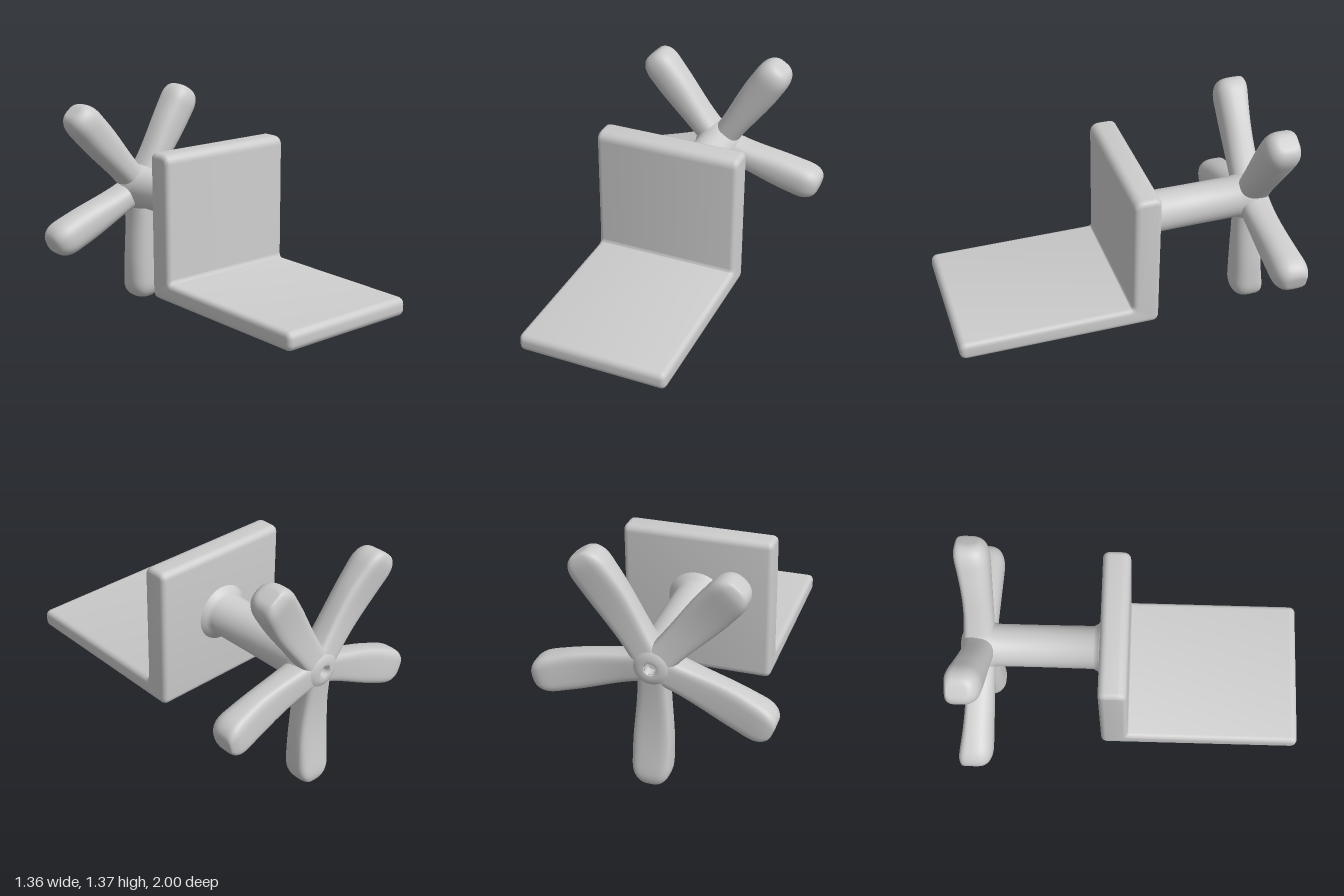
import * as THREE from 'three';
import { toCreasedNormals } from 'three/addons/utils/BufferGeometryUtils.js';

const AXIS_Y = 0.745; // height of the shaft axis
const mat = new THREE.MeshStandardMaterial({ color: 0xcccccc });

function part(name, geometry) {
  const mesh = new THREE.Mesh(geometry, mat);
  mesh.name = name;
  return mesh;
}

// L-shaped bracket: inset side profile (z, y), extruded across x; the bevel grows it to full size
function bracketGeometry() {
  const corners = [ // z, y, corner radius
    [-0.15, 0.31, 0.012], [0.97, 0.315, 0.012], [0.97, 0.365, 0.012],
    [-0.05, 0.365, 0.055], [-0.05, 1.12, 0.025], [-0.15, 1.12, 0.012],
  ].map(([z, y, r]) => ({ p: new THREE.Vector2(z, y), r }));
  const shape = new THREE.Shape();
  const n = corners.length;
  corners.forEach(({ p, r }, i) => {
    const toward = (q) => q.clone().sub(p).setLength(r).add(p);
    const a = toward(corners[(i + n - 1) % n].p);
    const b = toward(corners[(i + 1) % n].p);
    if (i === 0) shape.moveTo(a.x, a.y);
    else shape.lineTo(a.x, a.y);
    shape.quadraticCurveTo(p.x, p.y, b.x, b.y);
  });
  shape.closePath();
  const bevel = 0.03, width = 0.88;
  const g = new THREE.ExtrudeGeometry(shape, {
    depth: width - 2 * bevel, curveSegments: 5,
    bevelSize: bevel, bevelThickness: bevel, bevelSegments: 4,
  });
  g.translate(0, 0, -width / 2 + bevel);
  g.rotateY(-Math.PI / 2);
  return toCreasedNormals(g, 0.7);
}

// Shaft with a flared foot, running into a hub with a small hole at the back
function shaftGeometry() {
  const profile = [ // radius, distance behind z = 0
    [0.17, 0.17], [0.165, 0.185], [0.14, 0.2], [0.126, 0.225], [0.124, 0.5],
    [0.124, 0.79], [0.14, 0.83], [0.148, 0.88], [0.142, 0.93], [0.122, 0.96],
    [0.09, 0.982], [0.055, 0.996], [0.036, 0.992], [0.03, 0.975], [0.028, 0.94], [0, 0.935],
  ].map(([r, d]) => new THREE.Vector2(r, d));
  const g = new THREE.LatheGeometry(profile, 48);
  g.rotateX(-Math.PI / 2);
  return toCreasedNormals(g, 0.9);
}

// Blade along +x: rounded front, flatter and slightly hollow back, blunt tip
function bladeGeometry(length) {
  const rings = 30, sides = 32, pos = [], index = [];
  const spow = (v, e) => Math.sign(v) * Math.abs(v) ** e;
  for (let i = 0; i <= rings; i++) {
    const t = Math.sin((i / rings) * Math.PI / 2); // stations crowd at the tip
    const x = 0.03 + (length - 0.03) * t;
    const s = Math.max(0, (x - length + 0.13) / 0.13);
    const cap = Math.sqrt(Math.max(0, 1 - s ** 2.5));
    const half = (0.084 + 0.026 * THREE.MathUtils.smoothstep(t, 0.1, 0.7)) * (0.3 + 0.7 * cap);
    const front = 0.112 * (0.35 + 0.65 * cap);
    const back = (0.073 - 0.026 * Math.sin(Math.PI * Math.min(1, t * 1.08)) + 0.018 * t) * (0.7 + 0.3 * cap);
    for (let j = 0; j < sides; j++) {
      const a = (j / sides) * Math.PI * 2;
      const c = Math.cos(a), d = Math.sin(a);
      const e = d > 0 ? 0.82 : 0.5;
      pos.push(x, half * spow(c, e), -0.912 + (d > 0 ? front : back) * spow(d, e));
    }
  }
  for (let i = 0; i < rings; i++) {
    for (let j = 0; j < sides; j++) {
      const k = (j + 1) % sides;
      const a = i * sides + j, b = i * sides + k, c = a + sides, d = b + sides;
      index.push(a, b, c, b, d, c);
    }
  }
  // tip cap
  const tip = pos.length / 3;
  pos.push(length + 0.002, 0, -0.92);
  for (let j = 0; j < sides; j++) {
    index.push(tip, rings * sides + j, rings * sides + (j + 1) % sides);
  }
  const g = new THREE.BufferGeometry();
  g.setAttribute('position', new THREE.Float32BufferAttribute(pos, 3));
  g.setIndex(index);
  g.computeVertexNormals();
  return g;
}

export function createModel() {
  const model = new THREE.Group();
  model.name = 'bracketWithPropeller';

  model.add(part('bracket', bracketGeometry()));

  const propeller = new THREE.Group();
  propeller.name = 'propeller';
  propeller.position.y = AXIS_Y;
  propeller.add(part('shaftAndHub', shaftGeometry()));

  // five slightly uneven blades: angle in degrees, length
  const blades = [[-88.4, 0.743], [-14.6, 0.7], [57.2, 0.712], [131, 0.71], [203, 0.713]];
  for (const [angle, length] of blades) {
    const blade = part('blade', bladeGeometry(length));
    blade.rotation.z = THREE.MathUtils.degToRad(angle);
    propeller.add(blade);
  }
  model.add(propeller);
  return model;
}
